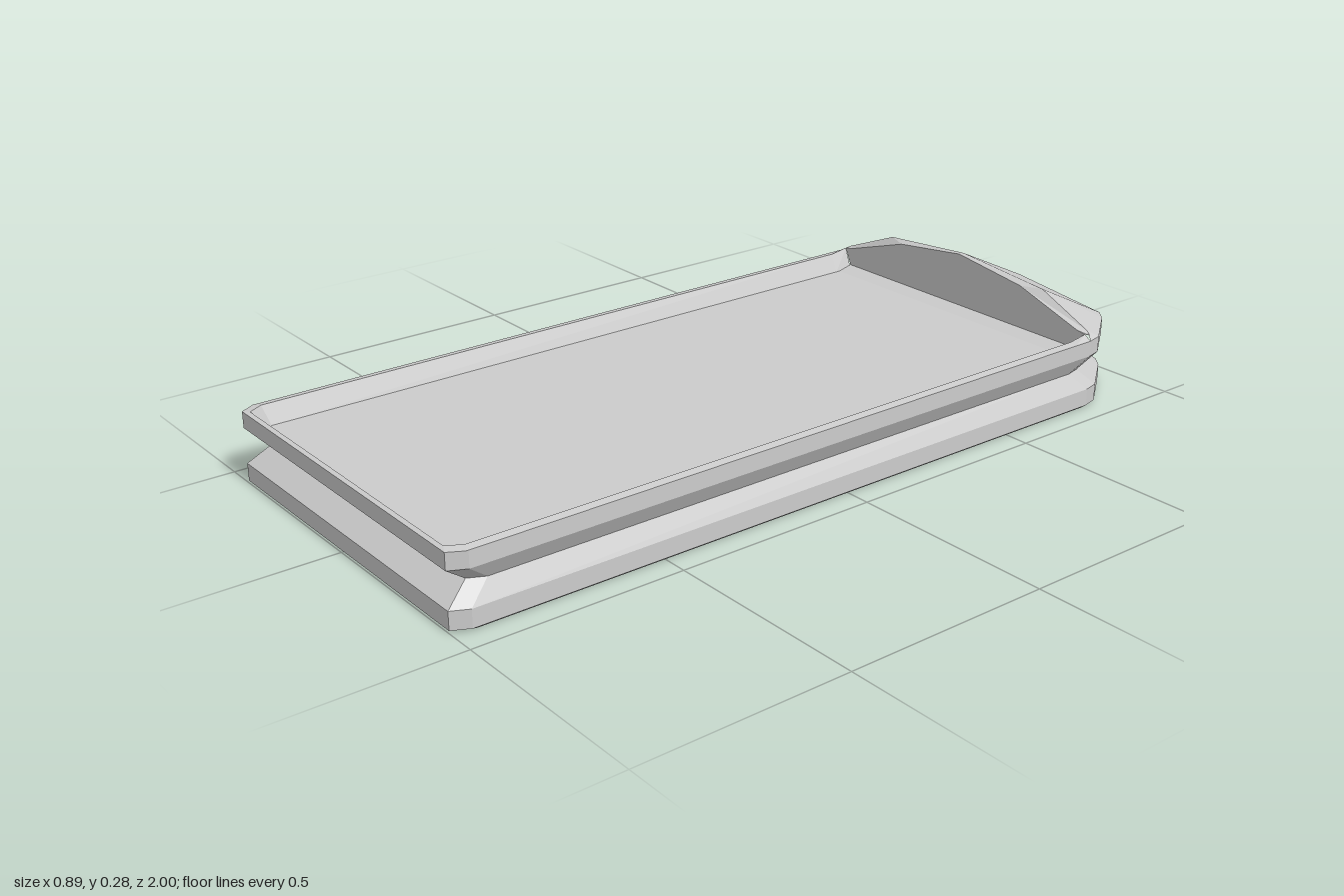
import * as THREE from 'three';

const material = new THREE.MeshStandardMaterial({ color: 0xcccccc, flatShading: true });

// Flat-shaded mesh from a list of triangles, skipping collapsed ones
function facetMesh(name, triangles) {
  const points = [];
  for (const t of triangles) {
    const [a, b, c] = t.map(p => new THREE.Vector3(...p));
    const area = b.clone().sub(a).cross(c.clone().sub(a)).length();
    if (area > 1e-8) points.push(a, b, c);
  }
  const geometry = new THREE.BufferGeometry().setFromPoints(points);
  geometry.computeVertexNormals();
  const mesh = new THREE.Mesh(geometry, material);
  mesh.name = name;
  return mesh;
}

// Quads between successive rows of points
function loft(rows, closed = false) {
  const triangles = [];
  for (let i = 0; i + 1 < rows.length; i++) {
    const lower = rows[i], upper = rows[i + 1], n = lower.length;
    for (let j = 0; j < (closed ? n : n - 1); j++) {
      const k = (j + 1) % n;
      triangles.push([lower[j], lower[k], upper[k]], [lower[j], upper[k], upper[j]]);
    }
  }
  return triangles;
}

const fan = ring => ring.slice(2).map((p, i) => [ring[0], ring[i + 1], p]);
const flip = ([x, y, z]) => [-x, y, z];

// Mirrors a half row that ends on the centre line
const mirrorRow = half => [...half, ...half.slice(0, -1).reverse().map(flip)];

export function createModel() {
  const group = new THREE.Group();
  group.name = 'tray';

  // Half plan of the body: chamfered front corner, rounded back, back tip
  const back = [[0.445, -0.77], [0.435, -0.81], [0.355, -0.915], [0.325, -0.94], [0, -1]];
  const halfPlan = [[0.425, 1], [0.445, 0.96], ...back];
  const ringAt = (y, s) => mirrorRow(halfPlan.map(([x, z]) => [x * s, y, z * s]));

  // Body with a V-shaped groove around its waist
  const levels = [[0, 0.985], [0.006, 1], [0.048, 1], [0.09, 0.945], [0.133, 1], [0.172, 1]];
  const rings = levels.map(([y, s]) => ringAt(y, s));
  const underside = fan([...rings[0]].reverse());
  group.add(facetMesh('groovedBody', [...loft(rings, true), ...underside]));

  // Rim and sloping inner walls, running from the left back round the front
  const border = (y, x, z, lift = 0) => {
    const half = [[x - 0.02, y, z], [x, y, z - 0.035], [x, y, -0.72], [x, y + lift, -0.77]];
    return [...half.map(flip).reverse(), ...half];
  };
  const outer = border(0.172, 0.445, 1);
  const inner = border(0.175, 0.425, 0.99, 0.008);
  const floor = border(0.13, 0.405, 0.978);
  group.add(facetMesh('rim', loft([outer, inner, floor])));
  group.add(facetMesh('trayFloor', fan(floor)));

  // Faceted hood at the back, its front wall and the ramp down to the floor
  const hoodEdge = mirrorRow(back.map(([x, z]) => [x, 0.172, z]));
  const ridge = mirrorRow([
    [0.432, 0.18, -0.78], [0.42, 0.187, -0.785], [0.265, 0.25, -0.79],
    [0.265, 0.25, -0.79], [0, 0.275, -0.785],
  ]);
  const crest = mirrorRow([
    [0.425, 0.183, -0.77], [0.4, 0.187, -0.77], [0.21, 0.248, -0.77],
    [0.21, 0.248, -0.77], [0, 0.275, -0.77],
  ]);
  const foot = (y, z) => mirrorRow([0.405, 0.39, 0.21, 0.21, 0].map(x => [x, y, z]));
  group.add(facetMesh('hood', loft([hoodEdge, ridge, crest])));
  group.add(facetMesh('hoodFrontWall', loft([crest, foot(0.14, -0.77), foot(0.13, -0.73)])));

  return group;
}
